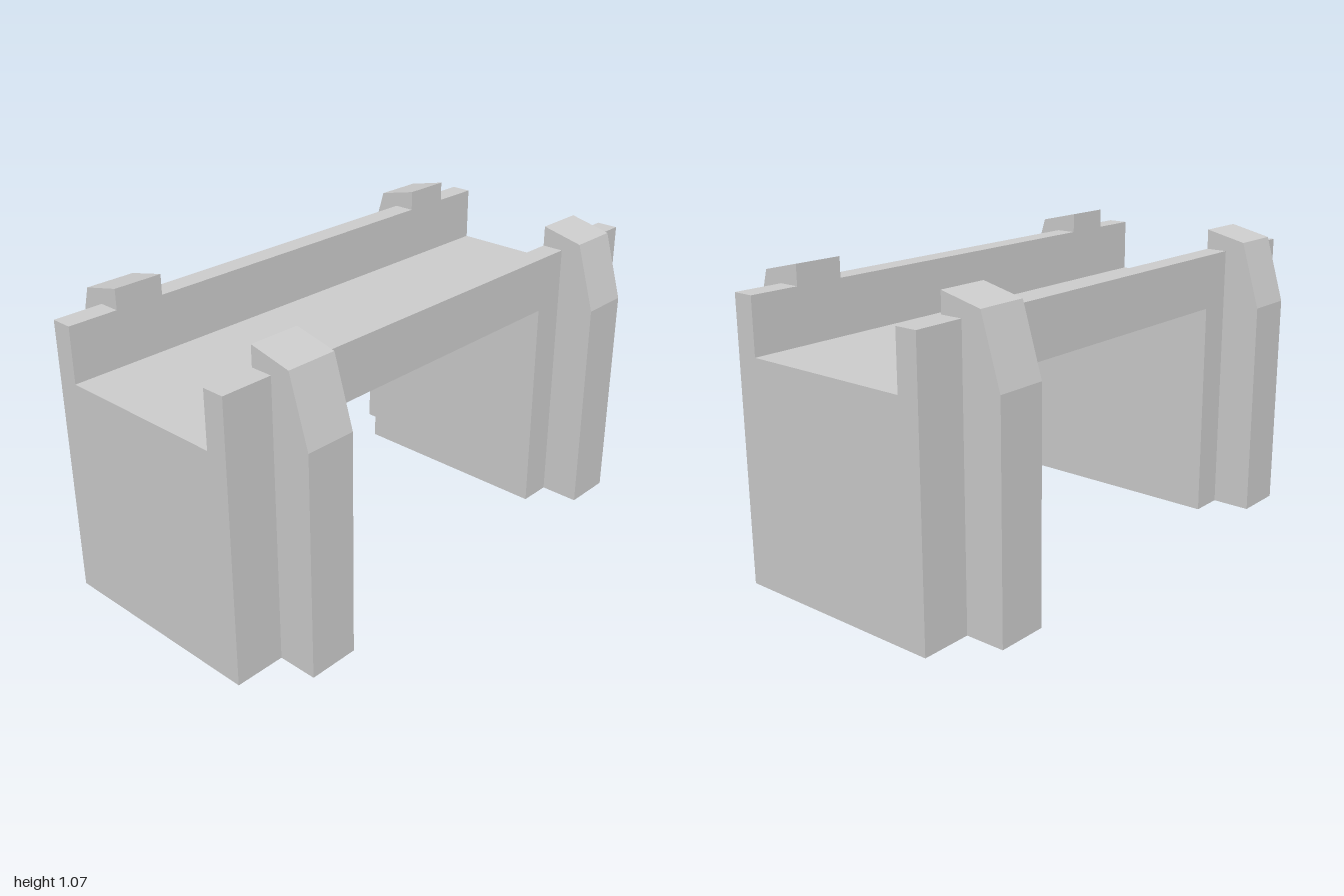
import * as THREE from 'three';

const material = new THREE.MeshStandardMaterial({ color: 0xcccccc, flatShading: true });

// Extrudes an x-y outline along z, from z0 to z1
function extrudeZ(name, points, z0, z1) {
  const shape = new THREE.Shape(points.map(([x, y]) => new THREE.Vector2(x, y)));
  const geometry = new THREE.ExtrudeGeometry(shape, { depth: z1 - z0, bevelEnabled: false });
  geometry.translate(0, 0, z0);
  const mesh = new THREE.Mesh(geometry, material);
  mesh.name = name;
  return mesh;
}

const rect = (x0, y0, x1, y1) => [[x0, y0], [x1, y0], [x1, y1], [x0, y1]];

export function createModel() {
  const model = new THREE.Group();
  model.name = 'bridge';

  const halfWidth = 0.4, inner = 0.32;      // outer and inner faces of the parapets
  const deckTop = 0.8, parapetTop = 1, opening = 0.51;

  // Abutment section: solid block with the parapets rising at both sides
  const abutment = [
    [-halfWidth, 0], [halfWidth, 0], [halfWidth, parapetTop], [inner, parapetTop],
    [inner, deckTop], [-inner, deckTop], [-inner, parapetTop], [-halfWidth, parapetTop],
  ];
  // Buttress section: tapers above the deck and caps the parapet
  const buttress = [
    [halfWidth, 0], [0.545, 0], [0.545, deckTop], [0.473, 1.038],
    [inner, 1.073], [inner, parapetTop], [halfWidth, parapetTop],
  ];

  // Deck slab hangs just below the parapets across the opening
  model.add(extrudeZ('deck', rect(-inner, 0.77, inner, deckTop), -opening, opening));

  for (const end of [1, -1]) {
    const endName = end > 0 ? 'front' : 'back';
    const range = (a, b) => (end > 0 ? [a, b] : [-b, -a]);
    model.add(extrudeZ(`${endName}Abutment`, abutment, ...range(opening, 1)));

    for (const side of [1, -1]) {
      const name = endName + (side > 0 ? 'Left' : 'Right') + 'Buttress';
      const outline = buttress.map(([x, y]) => [x * side, y]);
      model.add(extrudeZ(name, outline, ...range(0.633, 0.817)));
    }
  }

  // Parapets over the opening
  for (const side of [1, -1]) {
    const outline = rect(inner * side, deckTop, halfWidth * side, parapetTop);
    model.add(extrudeZ(side > 0 ? 'leftParapet' : 'rightParapet', outline, -opening, opening));
  }
  return model;
}
